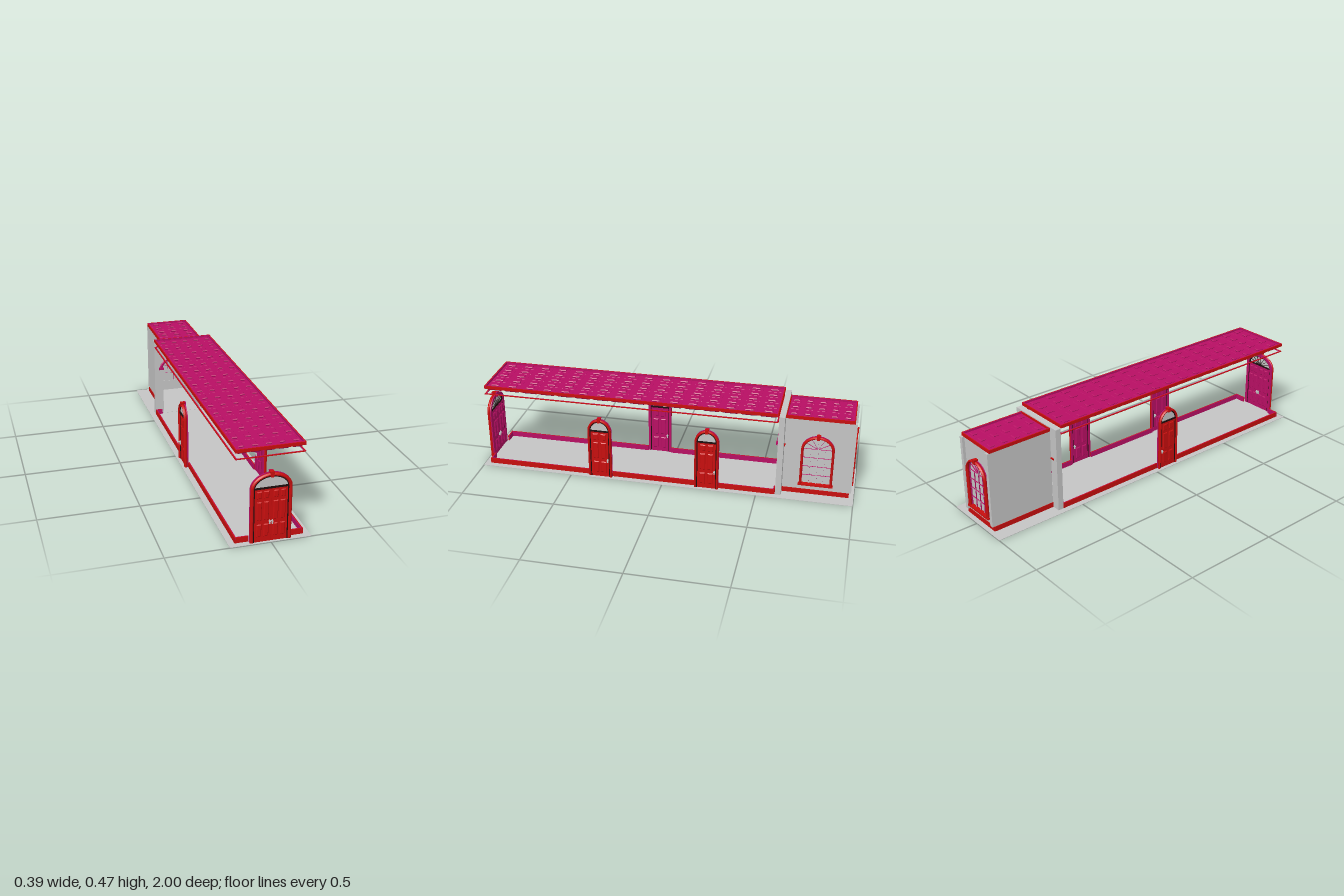
import * as THREE from 'three';

const paint = (name, color, side = THREE.FrontSide) => {
  const m = new THREE.MeshStandardMaterial({ color, side });
  m.name = name;
  return m;
};

export function createModel() {
  const red = paint('red', 0xc80e0e);
  const magenta = paint('magenta', 0xb80f64);
  const grey = paint('grey', 0xc4c4c4, THREE.DoubleSide);
  const dark = paint('dark', 0x1c0c0c);
  const model = new THREE.Group();

  const add = (parent, name, geo, mat, x = 0, y = 0, z = 0) => {
    const m = new THREE.Mesh(geo, mat);
    m.name = name;
    m.position.set(x, y, z);
    parent.add(m);
    return m;
  };
  const box = (parent, name, mat, w, h, d, x, y, z) =>
    add(parent, name, new THREE.BoxGeometry(w, h, d), mat, x, y, z);
  const group = (parent, name, x = 0, y = 0, z = 0, turn = 0) => {
    const g = new THREE.Group();
    g.name = name;
    g.position.set(x, y, z);
    g.rotation.y = turn;
    parent.add(g);
    return g;
  };
  const extrude = (shape, depth) =>
    new THREE.ExtrudeGeometry(shape, { depth, bevelEnabled: false, curveSegments: 20 });

  // Closed arched outline: straight sides up to the spring, then half an ellipse
  const archPath = (P, hw, y0, spring, ry) => {
    const p = new P();
    p.moveTo(-hw, y0);
    p.lineTo(hw, y0);
    p.lineTo(hw, spring);
    p.absellipse(0, spring, hw, ry, 0, Math.PI, false);
    p.closePath();
    return p;
  };
  // Band of width t around an arched opening
  const archBand = (hw, t, y0, spring, ry) => {
    const s = new THREE.Shape();
    s.moveTo(-hw - t, y0);
    s.lineTo(-hw, y0);
    if (spring > y0) s.lineTo(-hw, spring);
    s.absellipse(0, spring, hw, ry, Math.PI, 0, true);
    if (spring > y0) s.lineTo(hw, y0);
    s.lineTo(hw + t, y0);
    if (spring > y0) s.lineTo(hw + t, spring);
    s.absellipse(0, spring, hw + t, ry + t, 0, Math.PI, false);
    return s;
  };
  const moulding = (shape, depth, bevel, rise) => new THREE.ExtrudeGeometry(shape, {
    depth, bevelThickness: rise, bevelSize: bevel, bevelOffset: -bevel, bevelSegments: 1, curveSegments: 20,
  });
  // Raised rectangular panel with steep sloped edges, rising toward +z
  const panel = (w, h, bevel, rise) => {
    const s = new THREE.Shape();
    s.moveTo(-w / 2, -h / 2);
    s.lineTo(w / 2, -h / 2);
    s.lineTo(w / 2, h / 2);
    s.lineTo(-w / 2, h / 2);
    s.closePath();
    return moulding(s, 0.0005, bevel, rise);
  };
  const keystone = (parent, mat, y, h, w, depth, z) => {
    const s = new THREE.Shape();
    s.moveTo(-w * 0.35, y);
    s.lineTo(w * 0.35, y);
    s.lineTo(w * 0.5, y + h);
    s.lineTo(-w * 0.5, y + h);
    s.closePath();
    add(parent, 'keystone', extrude(s, depth), mat, 0, 0, z);
  };
  // Casing with a red outer face and a magenta inner face
  const casing = (g, hw, t, y0, spring, ry) => {
    add(g, 'outerCasing', moulding(archBand(hw, t, y0, spring, ry), 0.004, t * 0.35, 0.007), red, 0, 0, 0.009);
    add(g, 'innerCasing', extrude(archBand(hw, t, y0, spring, ry), 0.006), magenta, 0, 0, -0.002);
    keystone(g, red, spring + ry - 0.003, t + 0.012, 0.02, 0.022, 0);
    keystone(g, magenta, spring + ry - 0.003, t + 0.012, 0.02, 0.006, -0.006);
  };

  // Panelled door with fanlight; outside faces local +z
  const door = (parent, x, hw, t, ry, leaves, handles) => {
    const g = group(parent, 'archedDoor', x);
    const top = 0.27, leafW = (2 * hw - 0.008) / leaves;
    casing(g, hw, t, 0, top, ry);
    add(g, 'jamb', extrude(archBand(hw - 0.004, 0.004, 0, top, ry - 0.004), 0.012), dark, 0, 0, 0.001);
    box(g, 'transom', dark, 2 * hw, 0.008, 0.012, 0, top + 0.003, 0.008);
    add(g, 'fanlight', extrude(archPath(THREE.Shape, hw - 0.004, top + 0.004, top + 0.005, ry - 0.006), 0.002), grey, 0, 0, 0.007);
    for (let i = 1; i < 8; i++) {
      const a = (i * Math.PI) / 8, ex = (hw - 0.004) * Math.cos(a), ey = (ry - 0.006) * Math.sin(a);
      const spoke = box(g, 'fanSpoke', dark, Math.hypot(ex, ey), 0.002, 0.003, ex / 2, top + 0.005 + ey / 2, 0.005);
      spoke.rotation.z = Math.atan2(ey, ex);
    }
    for (let l = 0; l < leaves; l++) {
      const cx = (l - (leaves - 1) / 2) * leafW;
      box(g, 'doorOutside', red, leafW - 0.001, top, 0.005, cx, top / 2, 0.0085);
      box(g, 'doorInside', magenta, leafW - 0.001, top, 0.005, cx, top / 2, 0.0035);
      for (const s of [-1, 1])
        for (const [y, h] of [[0.06, 0.064], [0.159, 0.094], [0.24, 0.036]]) {
          const px = cx + s * leafW * 0.215, pw = leafW * 0.31;
          add(g, 'outsidePanel', panel(pw, h, 0.004, 0.004), red, px, y, 0.0105);
          add(g, 'insidePanel', panel(pw, h, 0.004, 0.004), magenta, px, y, -0.003);
        }
    }
    for (const hx of handles) {
      box(g, 'handlePlate', grey, 0.005, 0.02, 0.024, hx, 0.1, 0.006);
      box(g, 'handleLever', grey, 0.009, 0.004, 0.032, hx, 0.104, 0.006);
    }
  };

  // Arched window with sill and glazing bars
  const win = (parent, x) => {
    const g = group(parent, 'archedWindow', x);
    const hw = 0.072, y0 = 0.062, spring = 0.265, ry = 0.066;
    casing(g, hw, 0.013, y0, spring, ry);
    box(g, 'sill', red, 0.18, 0.008, 0.024, 0, y0, 0.008);
    add(g, 'glass', extrude(archPath(THREE.Shape, hw, y0, spring, ry), 0.002), grey, 0, 0, -0.006);
    const bar = [magenta, magenta, magenta, magenta, grey, grey];
    for (const s of [-1, 0, 1])
      box(g, 'uprightBar', bar, s ? 0.002 : 0.005, spring - y0, 0.012, s * hw * 0.5, (spring + y0) / 2, -0.004);
    for (let i = 1; i <= 4; i++)
      box(g, 'crossBar', bar, 2 * hw, 0.002, 0.012, 0, y0 + (i * (spring - y0)) / 4, -0.004);
    for (let i = 1; i < 6; i++) {
      const a = (i * Math.PI) / 6, ex = hw * Math.cos(a), ey = ry * Math.sin(a);
      box(g, 'archBar', bar, Math.hypot(ex, ey), 0.002, 0.012, ex / 2, spring + ey / 2, -0.004).rotation.z = Math.atan2(ey, ex);
    }
  };

  // Wall with an optional arched opening, outer face at local z = 0
  const wall = (parent, name, hw, h, hole, depth = 0.01) => {
    const s = new THREE.Shape();
    s.moveTo(-hw, 0);
    s.lineTo(hw, 0);
    s.lineTo(hw, h);
    s.lineTo(-hw, h);
    s.closePath();
    if (hole) s.holes.push(hole);
    return add(parent, name, extrude(s, depth), grey, 0, 0, -depth);
  };

  // Horizontal trim along a side, broken at the gaps [centre, halfWidth]
  const trim = (g, name, hw, y, h, gaps = [], dz = 0) => {
    let from = -hw;
    for (const [c, w] of [...gaps, [hw + 1, 1]]) {
      const to = c - w, len = to - from, mid = (to + from) / 2;
      box(g, name, red, len, h, 0.005, mid, y + h / 2, dz - 0.0025);
      box(g, name + 'Inside', magenta, len, h, 0.003, mid, y + h / 2, dz - 0.0065);
      from = c + w;
    }
  };

  // Coffered ceiling plate with raised panels
  const ceiling = (name, w, d, y, z, cols, rows) => {
    const g = group(model, name, 0, y, z);
    box(g, 'ceilingPlate', magenta, w, 0.003, d, 0, 0, 0);
    const cw = w / cols, cd = d / rows;
    for (let i = 0; i < cols; i++)
      for (let j = 0; j < rows; j++) {
        const x = (i + 0.5) * cw - w / 2, zz = (j + 0.5) * cd - d / 2;
        add(g, 'coffer', panel(cw - 0.008, cd - 0.008, 0.009, 0.009), magenta, x, -0.007, zz).rotation.x = -Math.PI / 2;
        add(g, 'cofferCentre', panel(cw * 0.45, cd * 0.45, 0.004, 0.004), magenta, x, 0.009, zz).rotation.x = -Math.PI / 2;
      }
  };

  box(model, 'floor', grey, 0.392, 0.002, 2, 0, 0.001, 0);

  // Long hall: doors, skirting, picture rail and ceiling edge
  const hall = group(model, 'hall');
  const cz = 0.1875, hx = 0.165, hz = 0.7825;
  const hallSides = [
    [group(hall, 'frontSide', 0, 0, cz + hz), hx, [[0, 0.1]]],
    [group(hall, 'leftSide', hx, 0, cz, Math.PI / 2), hz, [[-0.1525, 0.064], [0.4225, 0.064]]],
    [group(hall, 'rightSide', -hx, 0, cz, -Math.PI / 2), hz, [[-0.0975, 0.064]]],
    [group(hall, 'backSide', 0, 0, cz - hz, Math.PI), hx, [[0, 0.125]]],
  ];
  for (const [g, hw, gaps] of hallSides) {
    trim(g, 'skirting', hw, 0, 0.03, gaps);
    trim(g, 'pictureRail', hw, 0.419, 0.004);
    trim(g, 'cornice', hw, 0.452, 0.016);
  }
  const frontDoor = group(hallSides[0][0], 'frontEntrance', 0, 0, 0.006);
  door(frontDoor, 0, 0.083, 0.016, 0.06, 2, [-0.006, 0.006]);
  for (const c of [-0.1525, 0.4225]) door(hallSides[1][0], c, 0.052, 0.012, 0.058, 1, [0.043]);
  door(hallSides[2][0], -0.0975, 0.052, 0.012, 0.058, 1, [-0.043]);
  ceiling('hallCeiling', 0.322, 1.555, 0.456, cz, 5, 16);

  // Dividing wall with a wide arch
  const divider = group(model, 'divider', 0, 0, -0.598);
  wall(divider, 'dividingWall', 0.165, 0.452, archPath(THREE.Path, 0.119, 0.003, 0.28, 0.073), 0.03);
  add(divider, 'archMoulding', moulding(archBand(0.119, 0.017, 0.28, 0.28, 0.071), 0.002, 0.004, 0.004), magenta);
  keystone(divider, magenta, 0.348, 0.024, 0.02, 0.014, 0);
  for (const s of [-1, 1]) {
    box(divider, 'archCapital', magenta, 0.026, 0.012, 0.014, s * 0.126, 0.285, 0.005);
    box(divider, 'backCapital', red, 0.022, 0.008, 0.006, s * 0.132, 0.284, -0.032);
  }

  // Small end room
  const room = group(model, 'endRoom');
  const rz = -0.8, rx = 0.118, rd = 0.172;
  const opening = () => archPath(THREE.Path, 0.073, 0.062, 0.265, 0.067);
  const roomSides = [
    [group(room, 'roomLeftSide', rx, 0, rz, Math.PI / 2), rd],
    [group(room, 'roomRightSide', -rx, 0, rz, -Math.PI / 2), rd],
    [group(room, 'roomBackSide', 0, 0, rz - rd, Math.PI), rx],
  ];
  roomSides.forEach(([g, hw], i) => {
    let hole = null;
    if (i !== 1) {
      hole = opening();
      win(g, 0);
    }
    wall(g, 'roomWall', hw, 0.432, hole);
    trim(g, 'roomSkirting', hw, 0, 0.028, [], 0.003);
    trim(g, 'roomCornice', hw + 0.002, 0.43, 0.017, [], 0.003);
  });
  for (const s of [-1, 1])
    box(roomSides[2][0], 'cornerPilaster', grey, 0.02, 0.4, 0.014, s * 0.11, 0.23, 0.007);
  box(room, 'roomFrontCornice', red, 0.236, 0.017, 0.005, 0, 0.4385, rz + rd - 0.003);
  ceiling('roomCeiling', 0.23, 0.338, 0.436, rz, 3, 5);

  return model;
}
